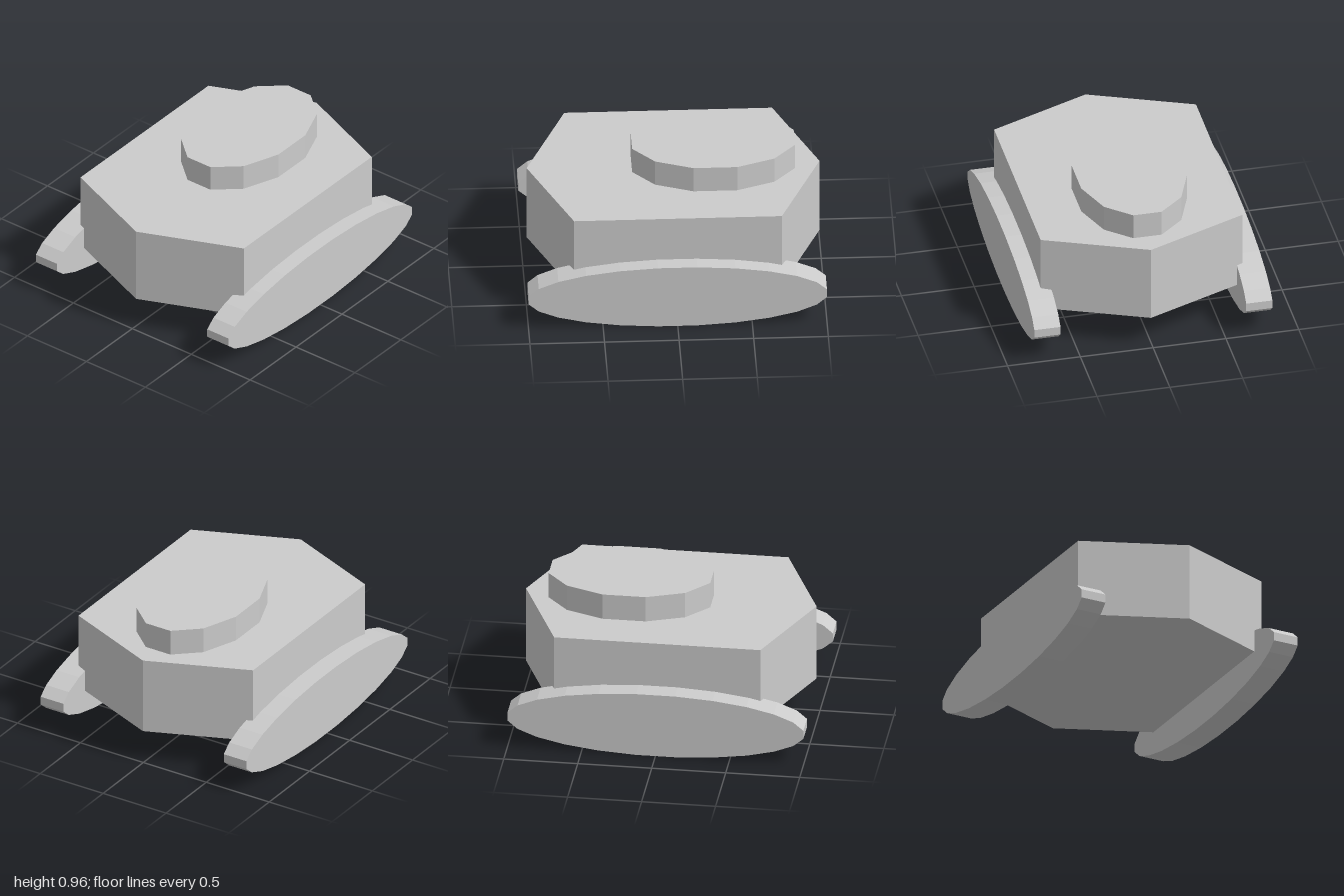
import * as THREE from 'three';

const material = new THREE.MeshStandardMaterial({ color: 0xcccccc, flatShading: true });

// Elliptical prism along y, turned half a side so flats face the axes; rx and rz are measured to the flats
function prism(sides, rx, rz, height) {
  const half = Math.PI / sides;
  const geometry = new THREE.CylinderGeometry(1, 1, height, sides, 1, false, half);
  return geometry.scale(rx / Math.cos(half), 1, rz / Math.cos(half));
}

function addPart(group, name, geometry, x, y, z) {
  const mesh = new THREE.Mesh(geometry, material);
  mesh.name = name;
  mesh.position.set(x, y, z);
  group.add(mesh);
}

export function createModel() {
  const group = new THREE.Group();
  group.name = 'tank';

  // Hull: hexagonal plan with points at front and back
  const plan = new THREE.Shape([
    [0.012, -0.975], [0.705, -0.69], [0.705, 0.703],
    [0.012, 0.988], [-0.682, 0.703], [-0.682, -0.69],
  ].map(([x, y]) => new THREE.Vector2(x, y)));
  const hull = new THREE.ExtrudeGeometry(plan, { depth: 0.542, bevelEnabled: false });
  hull.rotateX(-Math.PI / 2);
  addPart(group, 'hull', hull, 0, 0.232, 0);

  // Turret: twelve-sided oval, set towards the back
  addPart(group, 'turret', prism(12, 0.363, 0.546, 0.182), -0.002, 0.865, -0.274);

  // Tracks: long oval discs standing on edge
  for (const [name, x] of [['leftTrack', 0.726], ['rightTrack', -0.729]]) {
    const track = prism(24, 0.228, 1, 0.18).rotateZ(Math.PI / 2);
    addPart(group, name, track, x, 0.228, 0);
  }

  return group;
}
